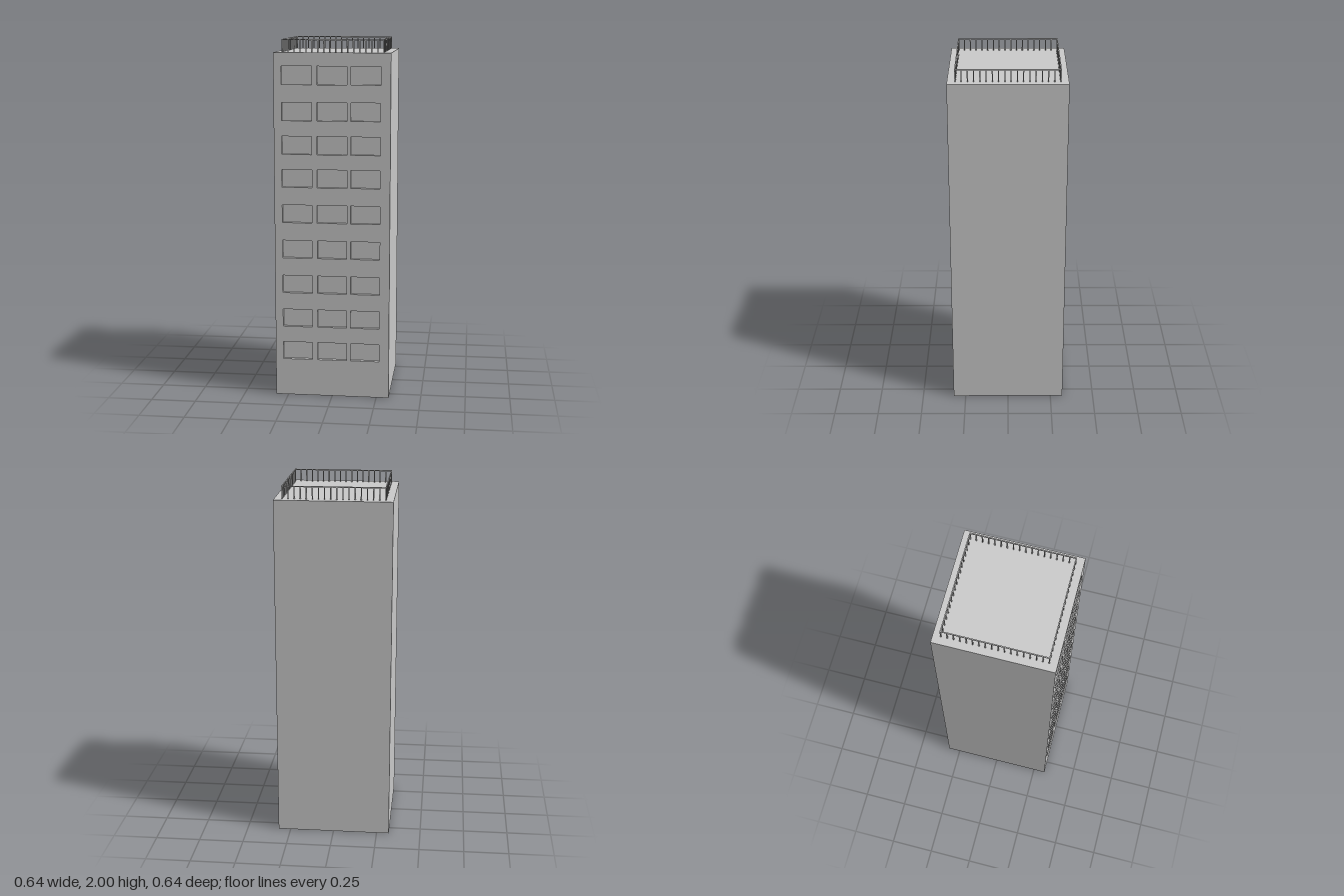
import * as THREE from 'three';

const W = 0.64, H = 1.93, RECESS = 0.02, TOP = 2;
const RAIL = 0.006, RAIL_OUTER = 0.28, POSTS = 18;

export function createModel() {
  const group = new THREE.Group();
  const material = new THREE.MeshStandardMaterial({ color: 0xcccccc, flatShading: true });

  function add(parent, name, geometry, x, y, z) {
    const mesh = new THREE.Mesh(geometry, material);
    mesh.name = name;
    mesh.position.set(x, y, z);
    parent.add(mesh);
    return mesh;
  }

  // Tower core: its front face forms the back of the window recesses
  add(group, 'towerCore', new THREE.BoxGeometry(W, H, W - RECESS), 0, H / 2, -RECESS / 2);

  // Front wall with a grid of rectangular window openings
  const wall = new THREE.Shape();
  wall.moveTo(-W / 2, 0).lineTo(W / 2, 0).lineTo(W / 2, H).lineTo(-W / 2, H).closePath();
  const columns = [[-0.277, -0.111], [-0.082, 0.082], [0.103, 0.265]];
  const sills = [0.21, 0.4, 0.595, 0.795, 0.995, 1.193, 1.376, 1.561, 1.757];
  for (const y of sills) {
    for (const [x0, x1] of columns) {
      const hole = new THREE.Path();
      hole.moveTo(x0, y).lineTo(x0, y + 0.1).lineTo(x1, y + 0.1).lineTo(x1, y).closePath();
      wall.holes.push(hole);
    }
  }
  const wallGeometry = new THREE.ExtrudeGeometry(wall, { depth: RECESS, bevelEnabled: false });
  add(group, 'windowWall', wallGeometry, 0, 0, W / 2 - RECESS);

  // Roof railing: four identical sides, each a top rail on a row of posts
  const edge = RAIL_OUTER - RAIL / 2;
  const postHeight = TOP - RAIL - H;
  const railGeometry = new THREE.BoxGeometry(2 * RAIL_OUTER - RAIL, RAIL, RAIL);
  const postGeometry = new THREE.BoxGeometry(RAIL, postHeight, RAIL);
  for (let side = 0; side < 4; side++) {
    const railing = new THREE.Group();
    railing.name = 'roofRailing';
    railing.rotation.y = side * Math.PI / 2;
    // Each rail starts at one corner and butts against the next side
    add(railing, 'topRail', railGeometry, -RAIL / 2, TOP - RAIL / 2, edge);
    for (let i = 0; i < POSTS - 1; i++) {
      const x = -edge + (2 * edge * i) / (POSTS - 1);
      add(railing, 'railingPost', postGeometry, x, H + postHeight / 2, edge);
    }
    group.add(railing);
  }

  return group;
}
